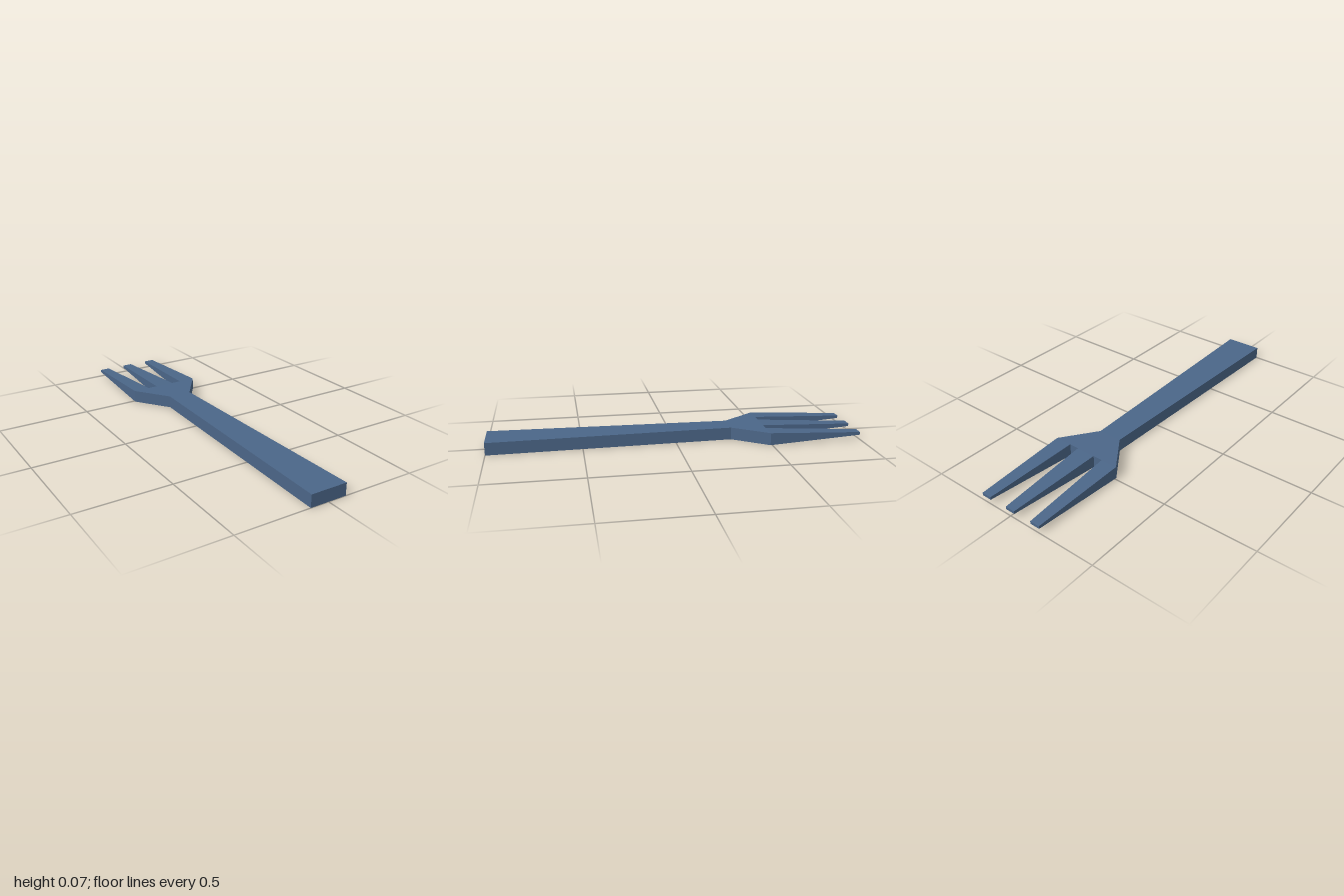
import * as THREE from 'three';

const HEIGHT = 0.067;

// Box whose front and back ends are given as { z, x0, x1, y0, y1 }
function taperedBar(front, back) {
  const geometry = new THREE.BoxGeometry(1, 1, 1).toNonIndexed();
  const p = geometry.attributes.position;
  for (let i = 0; i < p.count; i++) {
    const end = p.getZ(i) > 0 ? front : back;
    p.setXYZ(
      i,
      p.getX(i) < 0 ? end.x0 : end.x1,
      p.getY(i) < 0 ? end.y0 : end.y1,
      end.z
    );
  }
  geometry.computeVertexNormals();
  return geometry;
}

// One end of a bar; inset thins it equally from above and below
const section = (z, x0, x1, inset = 0) => ({ z, x0, x1, y0: inset, y1: HEIGHT - inset });

export function createModel() {
  const group = new THREE.Group();
  group.name = 'fork';
  const blue = new THREE.MeshStandardMaterial({ color: 0x4b6688 });
  blue.name = 'slateBlue';

  const add = (name, front, back) => {
    const mesh = new THREE.Mesh(taperedBar(front, back), blue);
    mesh.name = name;
    group.add(mesh);
  };

  const neckZ = -0.305, rootZ = -0.49, tipZ = -1, tipInset = 0.026;

  // Handle narrows to the neck, then the head flares out
  add('handle', section(1, -0.1, 0.1), section(neckZ, -0.065, 0.065));
  add('head', section(neckZ, -0.065, 0.065), section(rootZ, -0.198, 0.198));

  // Tines taper in width and thickness
  const tines = [
    ['rightTine', -0.198, -0.106, -0.186, -0.132],
    ['middleTine', -0.053, 0.053, -0.027, 0.027],
    ['leftTine', 0.106, 0.198, 0.132, 0.186],
  ];
  for (const [name, root0, root1, tip0, tip1] of tines) {
    add(name, section(rootZ, root0, root1), section(tipZ, tip0, tip1, tipInset));
  }
  return group;
}
